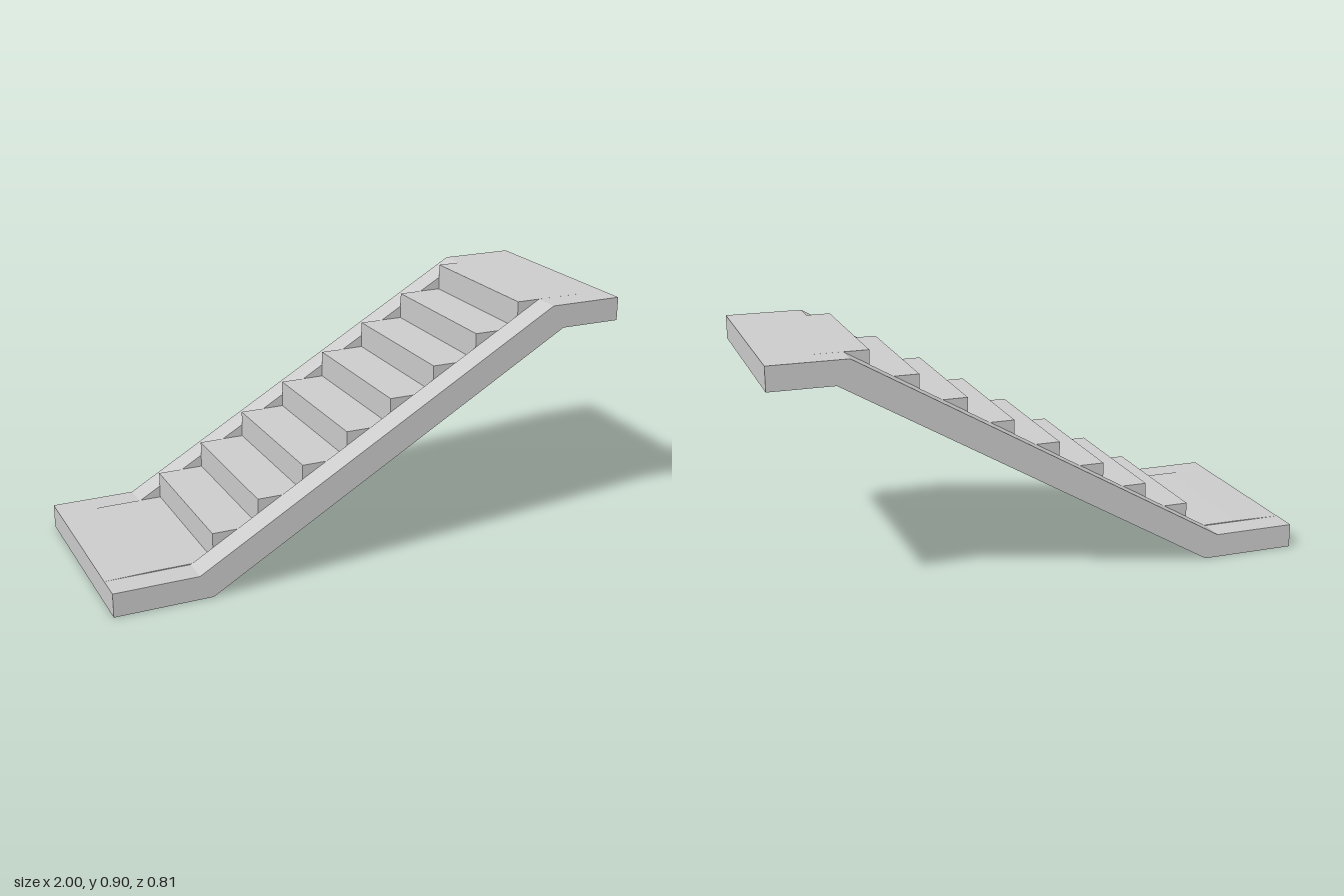
import * as THREE from 'three';

const HALF_WIDTH = 0.404, INNER = 0.303;
const STEPS = 8, FIRST_X = -0.6, RUN = 0.175, BASE_Y = 0.093, RISE = 0.1009;

// Side profile (x, y) extruded from z0 to z1
function slab(name, points, z0, z1, material) {
  const shape = new THREE.Shape(points.map(([x, y]) => new THREE.Vector2(x, y)));
  const geometry = new THREE.ExtrudeGeometry(shape, { depth: z1 - z0, bevelEnabled: false });
  geometry.translate(0, 0, z0);
  const mesh = new THREE.Mesh(geometry, material);
  mesh.name = name;
  return mesh;
}

export function createModel() {
  const group = new THREE.Group();
  group.name = 'staircase';
  const material = new THREE.MeshStandardMaterial({ color: 0xcccccc });

  // Underside shared by the flight and both stringers
  const underside = [[-1, 0], [-0.637, 0], [0.763, 0.811], [1, 0.811]];

  // Side stringers: landing, straight slope, landing
  const stringer = [...underside, [1, 0.9], [0.715, 0.9], [-0.685, 0.09], [-1, 0.09]];
  group.add(slab('leftStringer', stringer, INNER, HALF_WIDTH, material));
  group.add(slab('rightStringer', stringer, -HALF_WIDTH, -INNER, material));

  // Stepped flight between the stringers, with the landings at both ends
  const treads = [[-1, 0.09], [-0.82, BASE_Y]];
  for (let i = 0; i < STEPS; i++) {
    const x = FIRST_X + i * RUN;
    treads.push([x, BASE_Y + i * RISE], [x, BASE_Y + (i + 1) * RISE]);
  }
  treads.push([1, 0.9]);
  group.add(slab('steps', [...underside, ...treads.reverse()], -INNER, INNER, material));

  return group;
}
